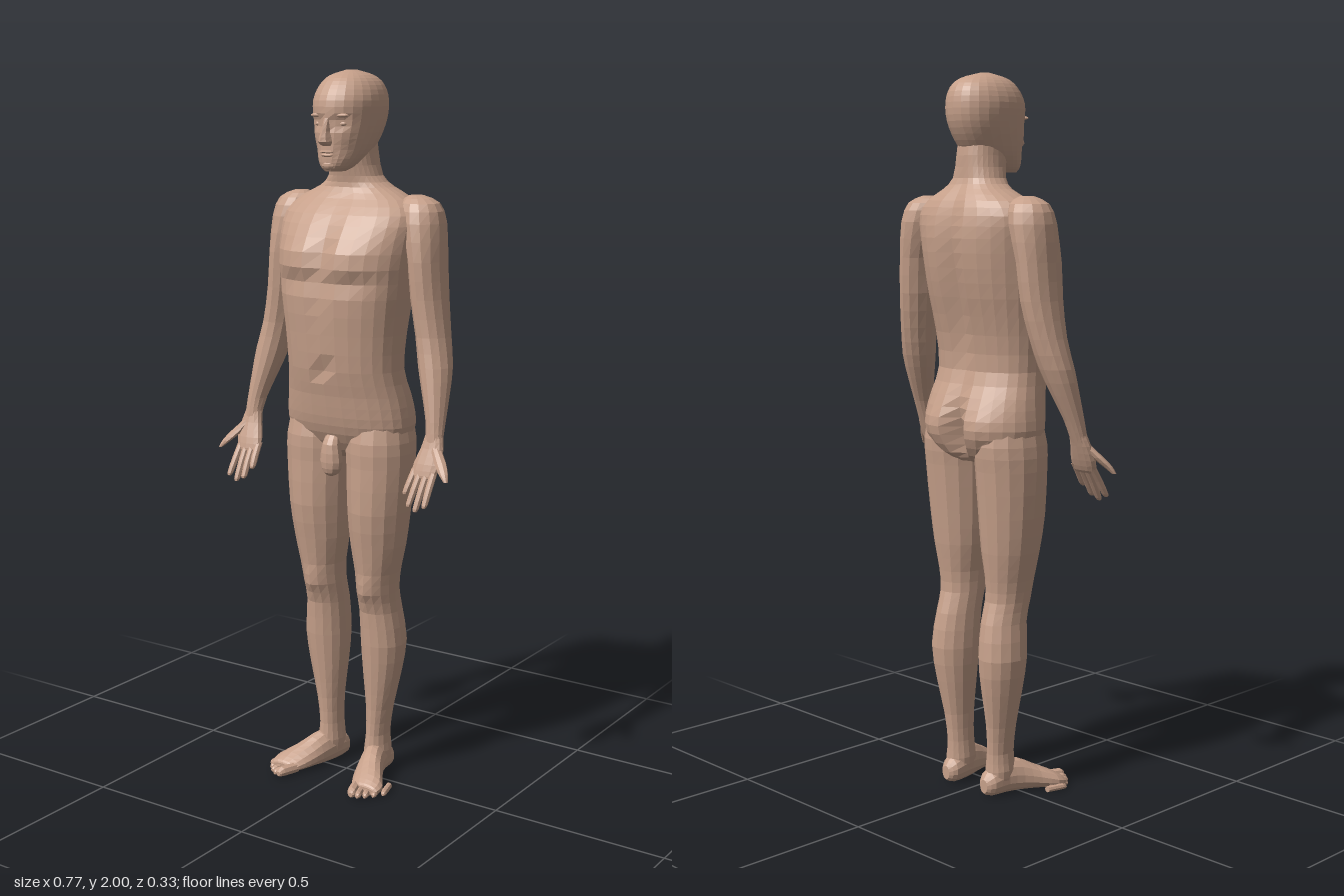
import * as THREE from 'three';

const skin = new THREE.MeshStandardMaterial({ color: 0xc6a08a, flatShading: true });
skin.name = 'skin';

// Skin over oval rings; each row is [y, centreX, centreZ, halfWidth, depthFront, depthBack]
function loft(rows, { seg = 16, sub = 2, power = 2, side = 1, shape } = {}) {
  if (rows[0][0] > rows[rows.length - 1][0]) rows = [...rows].reverse();
  const spline = (a) => new THREE.CatmullRomCurve3(
    rows.map((r) => new THREE.Vector3(r[a], r[a + 1], r[a + 2])), false, 'catmullrom', 0.5);
  const centres = spline(0), radii = spline(3);
  const steps = (rows.length - 1) * sub;
  const pos = [], index = [];
  const add = (x, y, z) => {
    const v = new THREE.Vector3(x, y, z);
    if (shape) shape(v);
    pos.push(v.x * side, v.y, v.z);
  };
  const round = (c) => Math.sign(c) * Math.pow(Math.abs(c), 2 / power);
  for (let i = 0; i <= steps; i++) {
    const c = centres.getPoint(i / steps), r = radii.getPoint(i / steps);
    for (let j = 0; j < seg; j++) {
      const a = (j / seg) * Math.PI * 2 * side;
      const s = round(Math.sin(a)), k = round(Math.cos(a));
      add(c.y + r.x * s, c.x, c.z + (k > 0 ? r.y : r.z) * k);
    }
  }
  for (let i = 0; i < steps; i++) for (let j = 0; j < seg; j++) {
    const a = i * seg + j, b = i * seg + ((j + 1) % seg);
    index.push(a, b, b + seg, a, b + seg, a + seg);
  }
  const first = rows[0], last = rows[rows.length - 1];
  const low = pos.length / 3, top = steps * seg;
  add(first[1], first[0], first[2]);
  add(last[1], last[0], last[2]);
  for (let j = 0; j < seg; j++) {
    const n = (j + 1) % seg;
    index.push(low, n, j, low + 1, top + j, top + n);
  }
  const g = new THREE.BufferGeometry();
  g.setAttribute('position', new THREE.Float32BufferAttribute(pos, 3));
  g.setIndex(index);
  g.computeVertexNormals();
  return g;
}

const bell = (v, at, width) => Math.exp(-(((v - at) / width) ** 2));

// Chest, sternum, spine and seat relief
function torsoShape(v) {
  const ax = Math.abs(v.x), y = v.y;
  if (v.z > 0.03) {
    v.z += 0.014 * bell(y, 1.51, 0.045) * bell(ax, 0.09, 0.07);
    v.z -= 0.012 * bell(y, 1.435, 0.022) * bell(ax, 0.08, 0.08);
    v.z -= 0.014 * bell(ax, 0, 0.02) * bell(y, 1.5, 0.12);
    v.z -= 0.012 * bell(ax, 0, 0.02) * bell(y, 1.205, 0.02);
  } else if (v.z < -0.06) {
    v.z += 0.025 * bell(ax, 0, 0.025) * bell(y, 1.42, 0.22);
    v.z += 0.05 * bell(ax, 0, 0.025) * bell(y, 1.02, 0.08);
    v.z -= 0.012 * bell(ax, 0.09, 0.05) * bell(y, 1.04, 0.06);
  }
}

// Eye sockets and cheeks
function headShape(v) {
  if (v.z < 0.03) return;
  const ax = Math.abs(v.x);
  v.z -= 0.012 * bell(ax, 0.036, 0.02) * bell(v.y, 1.862, 0.016);
  v.z -= 0.006 * bell(ax, 0.05, 0.02) * bell(v.y, 1.79, 0.025);
}

// Kneecap and shin ridge
function legShape(v) {
  if (v.z > 0) v.z += 0.012 * bell(v.y, 0.565, 0.035) * bell(v.x, 0.09, 0.03);
}

export function createModel() {
  const model = new THREE.Group();
  model.name = 'figure';
  const put = (name, geometry, parent = model) => {
    const m = new THREE.Mesh(geometry, skin);
    m.name = name;
    parent.add(m);
    return m;
  };
  const ball = (name, x, y, z, sx, sy, sz, parent) => {
    const m = put(name, new THREE.SphereGeometry(1, 10, 7), parent);
    m.position.set(x, y, z);
    m.scale.set(sx, sy, sz);
  };

  put('torso', loft([
    [0.945, 0, -0.02, 0.06, 0.04, 0.08], [0.97, 0, -0.02, 0.14, 0.07, 0.11],
    [1.02, 0, -0.02, 0.188, 0.1, 0.13], [1.07, 0, -0.02, 0.192, 0.115, 0.132],
    [1.13, 0, -0.015, 0.183, 0.12, 0.118], [1.2, 0, 0, 0.172, 0.12, 0.108],
    [1.3, 0, 0, 0.178, 0.13, 0.118], [1.4, 0, 0, 0.19, 0.138, 0.144],
    [1.48, 0, 0, 0.198, 0.136, 0.16], [1.56, 0, -0.01, 0.205, 0.122, 0.157],
    [1.62, 0, -0.03, 0.205, 0.105, 0.13], [1.66, 0, -0.045, 0.17, 0.08, 0.1],
    [1.69, 0, -0.05, 0.11, 0.065, 0.075], [1.72, 0, -0.045, 0.076, 0.062, 0.065],
    [1.78, 0, -0.035, 0.063, 0.065, 0.072], [1.83, 0, -0.03, 0.06, 0.06, 0.07],
  ], { seg: 28, sub: 2, power: 2.25, shape: torsoShape }));

  // Head and face
  const head = new THREE.Group();
  head.name = 'head';
  model.add(head);
  put('skull', loft([
    [1.735, 0, 0.055, 0.026, 0.03, 0.035], [1.75, 0, 0.04, 0.044, 0.053, 0.06],
    [1.78, 0, 0.02, 0.063, 0.075, 0.1], [1.82, 0, 0, 0.076, 0.095, 0.115],
    [1.87, 0, -0.02, 0.086, 0.118, 0.118], [1.92, 0, -0.022, 0.09, 0.117, 0.12],
    [1.96, 0, -0.025, 0.077, 0.098, 0.105], [1.985, 0, -0.025, 0.052, 0.068, 0.074],
    [2.0, 0, -0.025, 0.012, 0.016, 0.016],
  ], { seg: 24, sub: 3, power: 2.15, shape: headShape }), head);
  put('nose', loft([
    [1.803, 0, 0.092, 0.012, 0.014, 0.01], [1.814, 0, 0.094, 0.018, 0.03, 0.01],
    [1.84, 0, 0.092, 0.011, 0.023, 0.01], [1.875, 0, 0.088, 0.009, 0.012, 0.01],
  ], { seg: 8 }), head);
  ball('upperLip', 0, 1.787, 0.093, 0.024, 0.004, 0.009, head);
  ball('lowerLip', 0, 1.778, 0.092, 0.02, 0.005, 0.009, head);
  ball('chin', 0, 1.752, 0.082, 0.022, 0.014, 0.014, head);

  // Plain groin form
  put('groin', loft([
    [1.015, 0, 0.065, 0.02, 0.015, 0.02], [0.99, 0, 0.075, 0.026, 0.022, 0.03],
    [0.94, 0, 0.075, 0.034, 0.026, 0.03], [0.91, 0, 0.075, 0.024, 0.02, 0.022],
    [0.9, 0, 0.075, 0.008, 0.008, 0.008],
  ], { seg: 10 }));

  for (const side of [1, -1]) {
    const label = side > 0 ? 'left' : 'right';
    const limb = (name, rows, options, parent) =>
      put(name, loft(rows, { side, ...options }), parent);

    // Eye and brow
    ball(label + 'Eye', side * 0.036, 1.86, 0.073, 0.014, 0.007, 0.009, head);
    ball(label + 'Brow', side * 0.037, 1.882, 0.08, 0.024, 0.006, 0.01, head);

    // Arm from shoulder to wrist
    limb(label + 'Arm', [
      [1.672, 0.19, -0.055, 0.02, 0.02, 0.02], [1.652, 0.2, -0.055, 0.054, 0.05, 0.055],
      [1.6, 0.212, -0.055, 0.06, 0.07, 0.072], [1.5, 0.23, -0.05, 0.047, 0.073, 0.073],
      [1.4, 0.239, -0.048, 0.046, 0.068, 0.068], [1.3, 0.256, -0.042, 0.045, 0.06, 0.055],
      [1.22, 0.273, -0.028, 0.046, 0.055, 0.046], [1.15, 0.287, -0.008, 0.037, 0.044, 0.037],
      [1.08, 0.3, 0.014, 0.027, 0.031, 0.027], [1.02, 0.305, 0.032, 0.025, 0.02, 0.02],
    ], { seg: 14 });

    // Hand with the palm turned forward
    const hand = new THREE.Group();
    hand.name = label + 'Hand';
    model.add(hand);
    limb('palm', [
      [1.045, 0.303, 0.026, 0.024, 0.02, 0.02], [1.01, 0.304, 0.038, 0.033, 0.018, 0.018],
      [0.97, 0.299, 0.054, 0.041, 0.017, 0.018], [0.94, 0.295, 0.066, 0.038, 0.013, 0.015],
      [0.932, 0.295, 0.07, 0.03, 0.008, 0.008],
    ], { seg: 12, power: 2.4 }, hand);
    const fingers = [
      [0.265, 0.258, 0.888, 0.1], [0.284, 0.278, 0.86, 0.115],
      [0.304, 0.301, 0.85, 0.118], [0.324, 0.327, 0.863, 0.116],
    ];
    for (const [bx, tx, ty, tz] of fingers) {
      limb('finger', [
        [0.955, bx, 0.058, 0.01, 0.012, 0.012],
        [(0.955 + ty) / 2, (bx + tx) / 2, (0.062 + tz) / 2, 0.0095, 0.012, 0.012],
        [ty + 0.008, tx, tz - 0.004, 0.008, 0.01, 0.01],
        [ty, tx, tz, 0.004, 0.004, 0.004],
      ], { seg: 8 }, hand);
    }
    limb('thumb', [
      [1.015, 0.315, 0.04, 0.014, 0.014, 0.014], [0.98, 0.343, 0.062, 0.018, 0.014, 0.014],
      [0.955, 0.364, 0.08, 0.014, 0.011, 0.011], [0.936, 0.378, 0.09, 0.006, 0.006, 0.006],
    ], { seg: 8 }, hand);

    // Leg from hip to ankle
    limb(label + 'Leg', [
      [1.08, 0.1, -0.02, 0.08, 0.08, 0.1], [1.0, 0.1, -0.02, 0.095, 0.1, 0.115],
      [0.93, 0.101, -0.02, 0.095, 0.1, 0.108], [0.8, 0.099, -0.02, 0.087, 0.1, 0.096],
      [0.7, 0.096, -0.02, 0.077, 0.086, 0.087], [0.62, 0.094, -0.02, 0.062, 0.073, 0.077],
      [0.56, 0.091, -0.025, 0.058, 0.066, 0.07], [0.5, 0.091, -0.037, 0.058, 0.064, 0.075],
      [0.4, 0.096, -0.045, 0.064, 0.065, 0.08], [0.3, 0.092, -0.045, 0.053, 0.055, 0.068],
      [0.2, 0.086, -0.045, 0.037, 0.046, 0.05], [0.12, 0.081, -0.045, 0.031, 0.045, 0.044],
      [0.07, 0.081, -0.045, 0.037, 0.05, 0.046], [0.03, 0.081, -0.045, 0.034, 0.05, 0.046],
    ], { seg: 16, shape: legShape });

    // Foot, lofted heel to toe then laid flat; rows are [z, x, -y, halfWidth, down, up]
    const foot = new THREE.Group();
    foot.name = label + 'Foot';
    model.add(foot);
    const flat = (v) => { v.z = Math.min(v.z, 0); };
    const lay = (name, rows, seg) =>
      limb(name, rows, { seg, shape: flat }, foot).geometry.rotateX(Math.PI / 2);
    lay('sole', [
      [-0.107, 0.078, -0.03, 0.014, 0.02, 0.02], [-0.088, 0.078, -0.035, 0.032, 0.036, 0.036],
      [-0.04, 0.082, -0.04, 0.036, 0.042, 0.055], [0.005, 0.094, -0.035, 0.039, 0.037, 0.058],
      [0.05, 0.113, -0.028, 0.046, 0.03, 0.042], [0.09, 0.134, -0.02, 0.052, 0.022, 0.03],
      [0.118, 0.142, -0.016, 0.044, 0.017, 0.017], [0.124, 0.143, -0.014, 0.035, 0.01, 0.01],
    ], 14);
    for (let i = 0; i < 5; i++) {
      const r = i === 0 ? 0.015 : 0.011 - i * 0.0005;
      const bx = 0.107 + 0.018 * i, tx = 0.126 + 0.0172 * i, tip = 0.166 - 0.003 * i * i - 0.003 * i;
      lay('toe', [
        [tip - 0.06, bx, -r, r, r, r], [tip - 0.012, tx - 0.003, -r, r, r, r],
        [tip, tx, -r * 0.8, r * 0.45, r * 0.5, r * 0.4],
      ], 8);
    }
  }
  return model;
}
